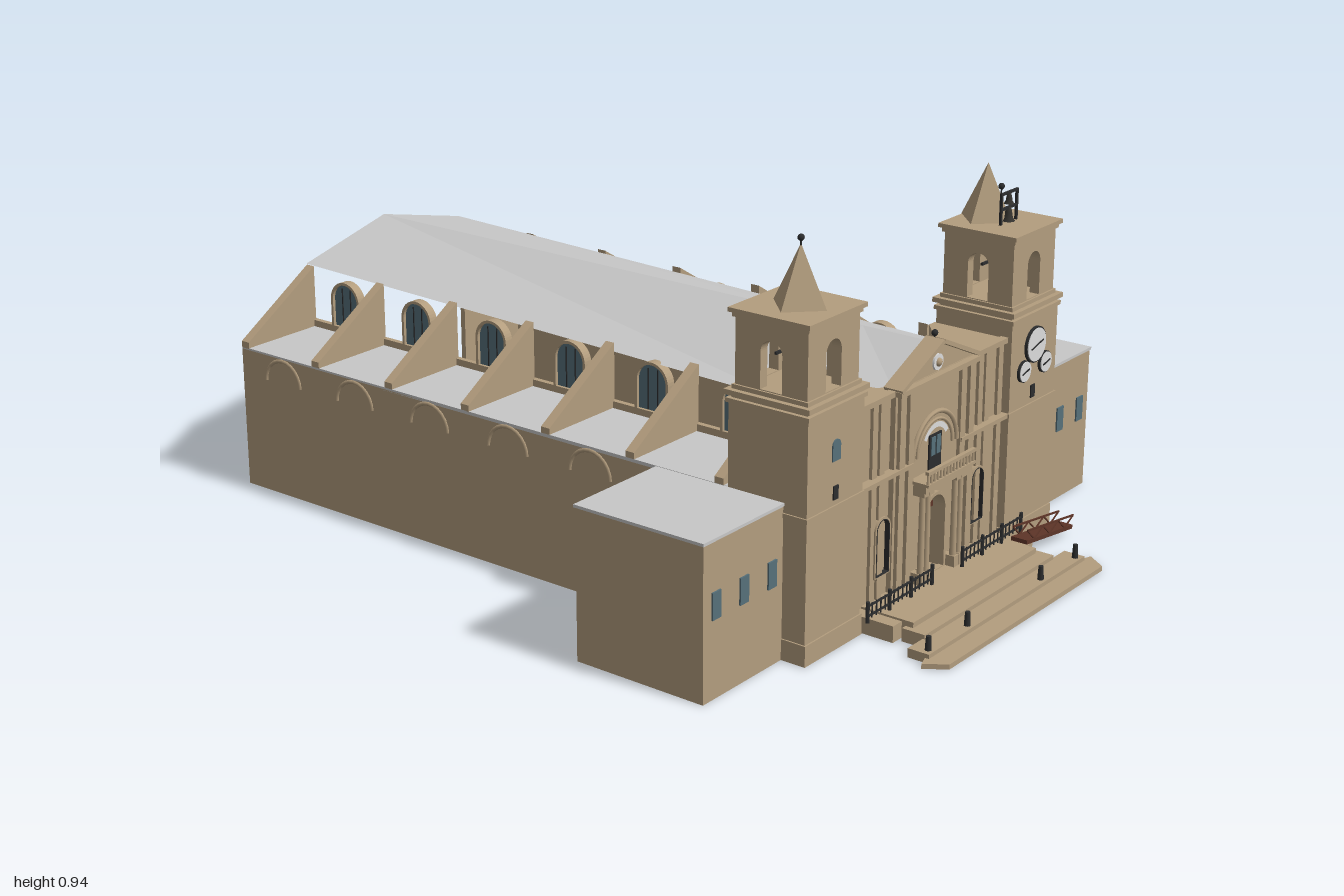
import * as THREE from 'three';

const mat = (name, color, side = THREE.FrontSide) => {
  const m = new THREE.MeshStandardMaterial({ color, side });
  m.name = name;
  return m;
};

export function createModel() {
  const root = new THREE.Group();
  root.name = 'church';
  const stone = mat('stone', 0xb39d7e);
  const roofGrey = mat('roofGrey', 0xc8c8c8, THREE.DoubleSide);
  const glass = mat('glass', 0x56707a);
  const iron = mat('iron', 0x2c2d2e);
  const wood = mat('wood', 0x5e3528);
  const dial = mat('dial', 0xdcdcdc);

  const add = (name, geo, m, x = 0, y = 0, z = 0, parent = root) => {
    const mesh = new THREE.Mesh(geo, m);
    mesh.name = name;
    mesh.position.set(x, y, z);
    parent.add(mesh);
    return mesh;
  };
  // box from its limits
  const box = (name, m, x0, x1, y0, y1, z0, z1, parent = root) =>
    add(name, new THREE.BoxGeometry(Math.abs(x1 - x0), y1 - y0, z1 - z0), m,
      (x0 + x1) / 2, (y0 + y1) / 2, (z0 + z1) / 2, parent);
  const poly = (pts) => new THREE.Shape(pts.map(p => new THREE.Vector2(p[0], p[1])));
  // round-headed outline centred on x
  const arch = (w, y0, y1, x = 0, C = THREE.Shape) => {
    const s = new C(), r = w / 2;
    s.moveTo(x - r, y0);
    s.lineTo(x + r, y0);
    s.lineTo(x + r, y1 - r);
    s.absarc(x, y1 - r, r, 0, Math.PI, false);
    s.lineTo(x - r, y0);
    return s;
  };
  const extrude = (shape, depth) =>
    new THREE.ExtrudeGeometry(shape, { depth, bevelEnabled: false, curveSegments: 10 });
  const archFrame = (w, y0, y1, t, depth) => {
    const s = arch(w + 2 * t, y0, y1 + t);
    s.holes.push(arch(w, y0 + 0.002, y1, 0, THREE.Path));
    return extrude(s, depth);
  };
  const bellGeo = new THREE.LatheGeometry([[0.0, 0.05], [0.008, 0.048], [0.012, 0.03], [0.015, 0.012], [0.023, 0]]
    .map(p => new THREE.Vector2(...p)).reverse(), 12);
  const bellMat = mat('bellMetal', 0x35332f, THREE.DoubleSide);
  const bell = (x, y, z, k) => add('bell', bellGeo, bellMat, x, y, z).scale.setScalar(k);

  for (const s of [-1, 1]) {
    // Side aisle, open to the nave
    box('aisleFloor', stone, s * 0.285, s * 0.52, 0, 0.012, -1, 0.53);
    box('aisleWall', stone, s * 0.505, s * 0.52, 0.012, 0.365, -1, 0.53);
    box('aisleEnd', stone, s * 0.285, s * 0.505, 0.012, 0.365, -1, -0.985);
    box('aisleRoof', roofGrey, s * 0.285, s * 0.52, 0.362, 0.37, -1, 0.53);
    box('clerestorySill', stone, s * 0.278, s * 0.292, 0.37, 0.387, -1, 0.53);
    // Sloping buttresses
    for (let i = 0; i < 7; i++) {
      const g = extrude(poly([[0.285, 0.368], [0.52, 0.368], [0.52, 0.385], [0.285, 0.53]]), 0.025);
      g.translate(0, 0, -0.0125);
      if (s < 0) g.rotateY(Math.PI);
      add('buttress', g, stone, 0, 0, -0.9875 + i * 0.25);
    }
    // Windows along the nave and the aisle
    for (let i = 0; i < 6; i++) {
      const z = 0.395 - i * 0.25;
      const turn = (m) => { m.rotation.y = Math.PI / 2; return m; };
      turn(add('clerestoryWindow', extrude(arch(0.085, 0.387, 0.503), 0.008), glass, s * 0.285 - 0.004, 0, z));
      turn(add('clerestoryFrame', archFrame(0.085, 0.387, 0.503, 0.007, 0.024), stone, s * 0.285 - 0.012, 0, z));
      for (const d of [-0.014, 0.014])
        box('mullion', iron, s * 0.285 - 0.006, s * 0.285 + 0.006, 0.39, 0.492, z + d - 0.0015, z + d + 0.0015);
      turn(add('aisleWindow', extrude(arch(0.15, 0.22, 0.358), 0.006), glass, s * 0.502 - 0.003, 0, z));
      if (s > 0 && i < 2) {
        turn(add('outerWindow', extrude(arch(0.15, 0.22, 0.36), 0.004), glass, 0.519, 0, z));
        for (const d of [-0.025, 0.025])
          box('outerMullion', iron, 0.52, 0.525, 0.222, 0.35, z + d - 0.002, z + d + 0.002);
      } else {
        turn(add('archMoulding', new THREE.TorusGeometry(0.06, 0.005, 4, 12, Math.PI), stone, s * 0.52, 0.3, z));
      }
    }

    // Flat-roofed wing
    box('wing', stone, s * 0.52, s * 0.8, 0, 0.362, 0.34, 0.685);
    box('wingRoof', roofGrey, s * 0.52, s * 0.803, 0.362, 0.369, 0.337, 0.688);
    for (const x of [0.56, 0.66, 0.757])
      box('wingWindow', glass, s * x - 0.015, s * x + 0.015, 0.185, 0.248, 0.682, 0.689);

    // Tower
    const cx = s * 0.413, cz = 0.64;
    const slab = (name, h, y0, y1, m = stone) => box(name, m, cx - h, cx + h, y0, y1, cz - h, cz + h);
    slab('towerBody', 0.105, 0, 0.575);
    slab('towerPlinth', 0.109, 0, 0.05);
    slab('towerString', 0.109, 0.335, 0.345);
    slab('towerCornice', 0.11, 0.565, 0.575);
    slab('towerCorniceTop', 0.113, 0.583, 0.595);
    slab('belfryBase', 0.1, 0.575, 0.605);
    for (let k = 0; k < 4; k++) {
      const wall = poly([[-0.095, 0.6], [0.095, 0.6], [0.095, 0.77], [-0.095, 0.77]]);
      wall.holes.push(arch(0.057, 0.607, 0.72, 0, THREE.Path));
      const g = extrude(wall, 0.025);
      g.translate(0, 0, 0.07);
      g.rotateY(k * Math.PI / 2);
      add('belfryWall', g, stone, cx, 0, cz);
    }
    slab('belfryCornice', 0.1, 0.757, 0.768);
    slab('belfryTop', 0.107, 0.768, 0.778);
    bell(cx, 0.642, cz, 0.95);
    box('bellBeam', iron, cx - 0.08, cx + 0.08, 0.686, 0.692, cz - 0.003, cz + 0.003);
    const sz = s < 0 ? 0.645 : 0.6;
    const spire = new THREE.ConeGeometry(0.07, 0.137, 4).toNonIndexed();
    spire.computeVertexNormals();
    add('spire', spire, stone, cx, 0.846, sz);
    box('towerSlit', iron, cx - 0.009, cx + 0.009, 0.358, 0.39, 0.742, 0.748);

    // Facade relief on each side
    for (const x of [0.292, 0.235, 0.205])
      box('pilaster', stone, s * x - 0.01, s * x + 0.01, 0.04, 0.525, 0.715, 0.728);
    for (const x of [0.145, 0.108])
      box('centrePilaster', stone, s * x - 0.011, s * x + 0.011, 0.04, 0.525, 0.73, 0.742);
    add('nicheFrame', archFrame(0.052, 0.1, 0.238, 0.005, 0.012), stone, s * 0.2, 0, 0.72);
    add('nicheLine', archFrame(0.049, 0.103, 0.236, 0.0015, 0.013), iron, s * 0.2, 0, 0.72);
    // Shoulder between facade and tower
    const shoulder = extrude(poly([[0.15, -0.645], [0.31, -0.645], [0.31, -0.53], [0.285, -0.53]]), 0.53);
    shoulder.rotateX(-Math.PI / 2);
    if (s < 0) {
      shoulder.scale(-1, 1, 1);
      const ix = shoulder.attributes.position;
      for (let t = 0; t < ix.count; t += 3) {
        const a = new THREE.Vector3().fromBufferAttribute(ix, t + 1), b = new THREE.Vector3().fromBufferAttribute(ix, t + 2);
        ix.setXYZ(t + 1, b.x, b.y, b.z);
        ix.setXYZ(t + 2, a.x, a.y, a.z);
      }
      shoulder.computeVertexNormals();
    }
    add('shoulder', shoulder, stone);

    // Portal columns
    for (const x of [0.058, 0.08]) {
      add('portalColumn', new THREE.CylinderGeometry(0.007, 0.008, 0.2, 10), stone, s * x, 0.165, 0.757);
      box('columnBase', stone, s * x - 0.01, s * x + 0.01, 0.045, 0.072, 0.735, 0.768);
      box('columnCapital', stone, s * x - 0.01, s * x + 0.01, 0.262, 0.275, 0.735, 0.768);
    }
    // Iron fence and bollards
    for (let i = 0; i <= 15; i++) {
      const x = s * (0.065 + i * 0.0175), big = i % 5 === 0;
      add('fencePost', new THREE.CylinderGeometry(big ? 0.005 : 0.002, big ? 0.005 : 0.002, big ? 0.05 : 0.036, 6),
        iron, x, 0.07, 0.78);
    }
    for (const y of [0.06, 0.084])
      box('fenceRail', iron, s * 0.065, s * 0.3275, y - 0.002, y + 0.002, 0.778, 0.782);
    for (const x of [0.16, 0.32])
      add('bollard', new THREE.CylinderGeometry(0.006, 0.008, 0.035, 8), iron, s * x, 0.038, 0.935);
  }

  // Nave roof from three cross-sections
  const rows = [[-1, 0.287, 0.533], [0.53, 0.287, 0.497], [0.71, 0.15, 0.535]];
  const verts = [], idx = [];
  for (const [z, x, y] of rows) verts.push(-x, y, z, 0, 0.602, z, x, y, z);
  for (let r = 0; r < 2; r++)
    for (let c = 0; c < 2; c++) {
      const a = r * 3 + c;
      idx.push(a, a + 3, a + 1, a + 1, a + 3, a + 4);
    }
  const roofIndexed = new THREE.BufferGeometry();
  roofIndexed.setAttribute('position', new THREE.Float32BufferAttribute(verts, 3));
  roofIndexed.setIndex(idx);
  const roofGeo = roofIndexed.toNonIndexed();
  roofGeo.computeVertexNormals();
  add('naveRoof', roofGeo, roofGrey);

  // Facade with an open doorway
  const wall = poly([[-0.31, 0], [0.31, 0], [0.31, 0.53], [-0.31, 0.53]]);
  const bay = poly([[-0.165, 0], [0.165, 0], [0.165, 0.53], [0, 0.605], [-0.165, 0.53]]);
  for (const f of [wall, bay]) f.holes.push(arch(0.08, 0.045, 0.235, 0, THREE.Path));
  add('facadeWall', extrude(wall, 0.08), stone, 0, 0, 0.64);
  add('facadeBay', extrude(bay, 0.033), stone, 0, 0, 0.7);
  box('facadeCornice', stone, -0.308, 0.308, 0.52, 0.533, 0.715, 0.735);
  box('bayCornice', stone, -0.17, 0.17, 0.52, 0.532, 0.73, 0.752);
  for (const s of [-1, 1]) {
    box('facadeString', stone, s * 0.1, s * 0.308, 0.335, 0.345, 0.715, 0.745);
    const rake = add('gableCornice', new THREE.BoxGeometry(0.185, 0.01, 0.05), stone, s * 0.084, 0.571, 0.728);
    rake.rotation.z = -s * Math.atan2(0.075, 0.165);
  }
  add('gableEmblem', new THREE.CylinderGeometry(0.02, 0.02, 0.008, 10).rotateX(Math.PI / 2), dial, 0, 0.557, 0.734);
  add('emblemBoss', new THREE.SphereGeometry(0.011, 8, 6), stone, 0, 0.557, 0.736);
  // Finials
  for (const [x, y, z] of [[0, 0.612, 0.725], [-0.413, 0.915, 0.645], [0.376, 0.862, 0.66]]) {
    add('finialStem', new THREE.CylinderGeometry(0.002, 0.002, 0.02, 6), iron, x, y, z);
    add('finialBall', new THREE.SphereGeometry(0.008, 8, 6), iron, x, y + 0.012, z);
  }

  // Portal, balcony and upper window
  add('doorHead', extrude(arch(0.08, 0.188, 0.235), 0.02), wood, 0, 0, 0.69);
  add('doorFrame', archFrame(0.08, 0.045, 0.235, 0.008, 0.014), stone, 0, 0, 0.73);
  box('portalLintel', stone, -0.095, 0.095, 0.275, 0.293, 0.73, 0.775);
  box('balconyFloor', stone, -0.1, 0.1, 0.293, 0.3, 0.73, 0.785);
  box('balconyRail', stone, -0.1, 0.1, 0.323, 0.331, 0.775, 0.785);
  for (let i = 0; i <= 14; i++)
    add('baluster', new THREE.CylinderGeometry(0.003, 0.004, 0.026, 6), stone, -0.095 + i * 0.19 / 14, 0.311, 0.78);
  box('balconyDoor', iron, -0.025, 0.025, 0.3, 0.385, 0.73, 0.737);
  for (const x of [-0.011, 0.011]) box('balconyPane', glass, x - 0.008, x + 0.008, 0.335, 0.38, 0.736, 0.739);
  for (const [r, t] of [[0.092, 0.006], [0.074, 0.004]])
    add('windowArch', new THREE.TorusGeometry(r, t, 6, 20, Math.PI), stone, 0, 0.345, 0.735);
  add('archShell', new THREE.RingGeometry(0.045, 0.058, 16, 1, 0.5, Math.PI - 1), dial, 0, 0.355, 0.738);

  // Tower window, and the clocks on the other tower
  add('towerWindow', extrude(arch(0.03, 0.448, 0.497), 0.006), glass, -0.413, 0, 0.742);
  for (const [x, y, r] of [[0.413, 0.492, 0.045], [0.365, 0.436, 0.027], [0.461, 0.436, 0.027]]) {
    add('clockRim', new THREE.CylinderGeometry(r, r, 0.008, 24).rotateX(Math.PI / 2), iron, x, y, 0.748);
    add('clockFace', new THREE.CylinderGeometry(r * 0.92, r * 0.92, 0.008, 24).rotateX(Math.PI / 2), dial, x, y, 0.75);
    add('clockHand', new THREE.BoxGeometry(r * 1.2, 0.003, 0.002), iron, x, y, 0.755).rotation.z = 0.25;
  }

  // Bell frame on the clock tower
  for (const x of [0.378, 0.448]) box('bellFramePost', iron, x - 0.003, x + 0.003, 0.778, 0.855, 0.657, 0.663);
  for (const y of [0.815, 0.852]) box('bellFrameBar', iron, 0.375, 0.451, y - 0.003, y + 0.003, 0.657, 0.663);
  bell(0.413, 0.782, 0.66, 0.7);
  bell(0.413, 0.824, 0.66, 0.55);

  // Terrace and steps
  box('terrace', stone, -0.265, 0.265, 0, 0.045, 0.7, 0.86);
  box('terraceSide', stone, -0.3, 0.3, 0, 0.04, 0.72, 0.83);
  box('upperStep', stone, -0.28, 0.28, 0, 0.032, 0.84, 0.9);
  box('middleStep', stone, -0.34, 0.34, 0, 0.022, 0.895, 0.95);
  const step = extrude(poly([[-0.335, -1], [0.335, -1], [0.37, -0.95], [0.34, -0.94], [-0.34, -0.94], [-0.37, -0.95]]), 0.012);
  step.rotateX(-Math.PI / 2);
  add('lowerStep', step, stone);

  // Access ramp with lattice rails
  const ramp = new THREE.Group();
  ramp.name = 'accessRamp';
  ramp.position.set(0.38, 0.035, 0.81);
  ramp.rotation.z = -0.14;
  root.add(ramp);
  box('rampDeck', wood, -0.11, 0.11, -0.006, 0.004, -0.022, 0.022, ramp);
  for (const z of [-0.02, 0.02]) {
    box('rampRail', wood, -0.11, 0.11, 0.026, 0.03, z - 0.002, z + 0.002, ramp);
    for (let i = 0; i < 6; i++)
      add('rampBrace', new THREE.BoxGeometry(0.043, 0.003, 0.003), wood, -0.092 + i * 0.0367, 0.015, z, ramp)
        .rotation.z = i % 2 ? 0.6 : -0.6;
  }
  return root;
}
